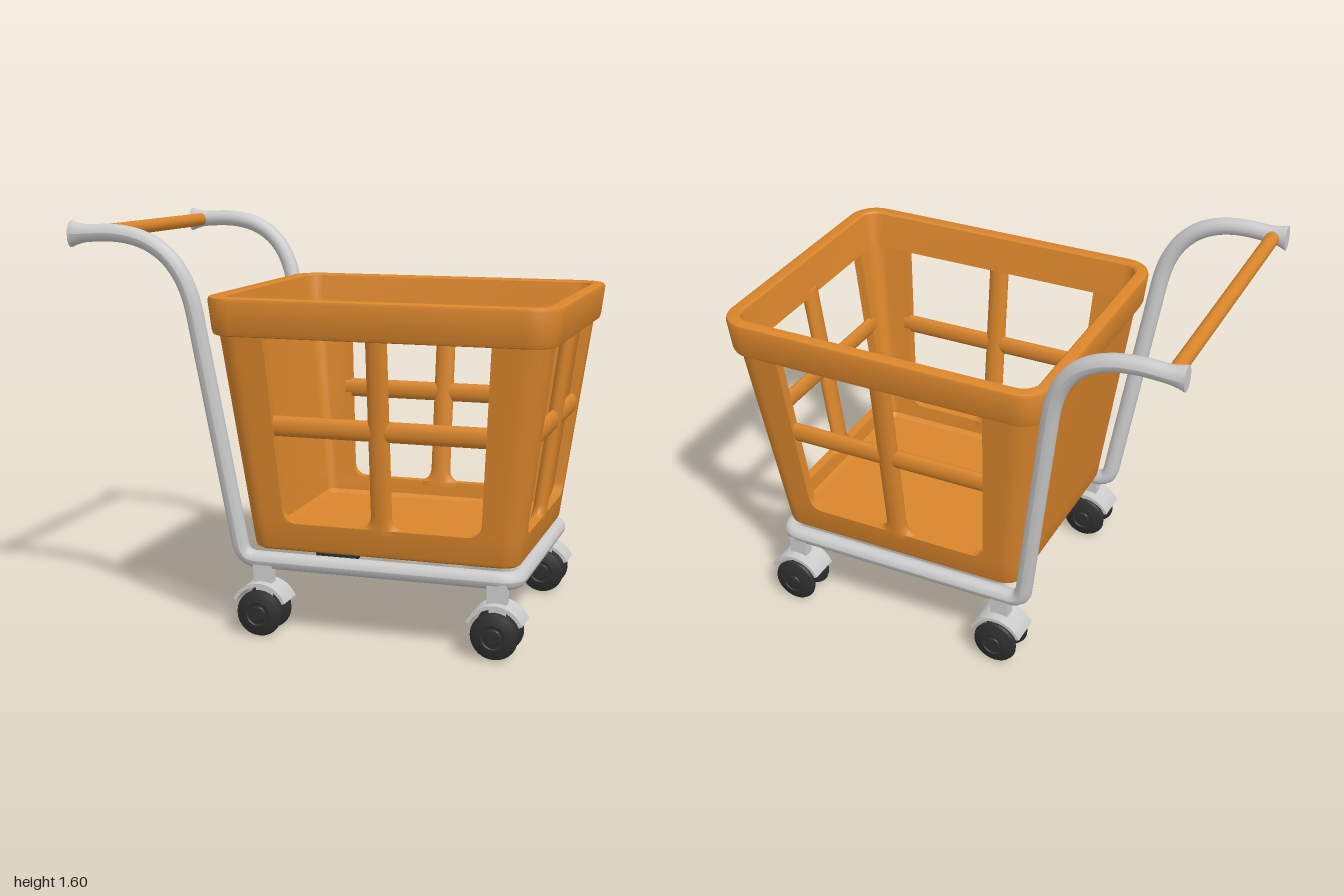
import * as THREE from 'three';
import { toCreasedNormals } from 'three/addons/utils/BufferGeometryUtils.js';

const orange = new THREE.MeshStandardMaterial({ color: 0xd9852b });
const metal = new THREE.MeshStandardMaterial({ color: 0xcccccc });
const black = new THREE.MeshStandardMaterial({ color: 0x2e2e2e });
const V = (x, y, z) => new THREE.Vector3(x, y, z);
const lerp = THREE.MathUtils.lerp;

function add(parent, name, geometry, material, x = 0, y = 0, z = 0) {
  const mesh = new THREE.Mesh(geometry, material);
  mesh.name = name;
  mesh.position.set(x, y, z);
  parent.add(mesh);
  return mesh;
}

// Skin closed rings of [x, z] points stacked at heights, with optional end caps
function loft(layers, caps = true) {
  const pos = [], index = [], n = layers[0].pts.length;
  for (const { y, pts } of layers) for (const [x, z] of pts) pos.push(x, y, z);
  for (let i = 0; i < layers.length - 1; i++) {
    for (let j = 0; j < n; j++) {
      const a = i * n + j, b = i * n + (j + 1) % n;
      index.push(a, a + n, b, b, a + n, b + n);
    }
  }
  if (caps) {
    const cap = (layer, base, flip) => {
      const flat = layer.pts.map(([x, z]) => new THREE.Vector2(x, z));
      for (const [a, b, c] of THREE.ShapeUtils.triangulateShape(flat, [])) {
        index.push(base + a, base + (flip ? c : b), base + (flip ? b : c));
      }
    };
    cap(layers[0], 0, false);
    cap(layers[layers.length - 1], (layers.length - 1) * n, true);
  }
  const g = new THREE.BufferGeometry();
  g.setAttribute('position', new THREE.Float32BufferAttribute(pos, 3));
  g.setIndex(index);
  return toCreasedNormals(g, 0.6);
}

// Rounded corner k (0: +x+z, 1: -x+z, 2: -x-z, 3: +x-z)
function corner(k, hx, hz, r) {
  const sx = k === 0 || k === 3 ? 1 : -1, sz = k < 2 ? 1 : -1, pts = [];
  for (let i = 0; i <= 8; i++) {
    const a = (k + i / 8) * Math.PI / 2;
    pts.push([sx * (hx - r) + r * Math.cos(a), sz * (hz - r) + r * Math.sin(a)]);
  }
  return pts;
}
const roundRect = (hx, hz, r) => [0, 1, 2, 3].flatMap(k => corner(k, hx, hz, r));

// Basket taper and window sizes by height
const Y0 = 0.33, Y1 = 1.18, SILL = 0.445, WALL = 0.04, FILLET = 0.05;
function size(y) {
  const t = (y - Y0) / (Y1 - Y0);
  return {
    hx: lerp(0.53, 0.645, t), hz: lerp(0.45, 0.55, t), r: lerp(0.07, 0.1, t),
    wz: lerp(0.385, 0.44, t), wx: lerp(0.36, 0.395, t),
  };
}
function fillet(y) {
  const d = THREE.MathUtils.clamp(FILLET - (y - SILL), 0, FILLET);
  return FILLET - Math.sqrt(FILLET * FILLET - d * d);
}
const levels = [0.425, SILL, 0.448, 0.455, 0.466, 0.48, 0.495, 0.832, 1.2];

// Wall section running round the given corners, between two window edges
function post(corners, start, end) {
  return loft(levels.map(y => {
    const s = size(y), f = fillet(y);
    const path = inset => {
      const hx = s.hx - inset, hz = s.hz - inset;
      return [start(s, hx, hz, f), ...corners.flatMap(k => corner(k, hx, hz, s.r - inset)), end(s, hx, hz, f)];
    };
    return { y, pts: [...path(0), ...path(WALL).reverse()] };
  }));
}

function makeBasket() {
  const basket = new THREE.Group();
  basket.name = 'basket';

  // Tray with floor
  const tray = [[0.33, 0.015], [0.337, 0.004], [0.35, 0], [SILL, 0], [SILL, WALL], [0.385, WALL], [0.37, 0.055]];
  add(basket, 'tray', loft(tray.map(([y, inset]) => {
    const s = size(y);
    return { y, pts: roundRect(s.hx - inset, s.hz - inset, Math.max(s.r - inset, 0.02)) };
  })), orange);

  // Two front corner posts and the solid rear wall with its corners
  add(basket, 'cornerPostLeft', post([0],
    (s, hx, hz, f) => [hx, s.wx - f], (s, hx, hz, f) => [s.wz - f, hz]), orange);
  add(basket, 'cornerPostRight', post([3],
    (s, hx, hz, f) => [s.wz - f, -hz], (s, hx, hz, f) => [hx, -s.wx + f]), orange);
  add(basket, 'rearWall', post([1, 2],
    (s, hx, hz, f) => [-s.wz + f, hz], (s, hx, hz, f) => [-s.wz + f, -hz]), orange);

  // Upright and cross bar in each of the three open sides
  for (const [name, dx, dz] of [['left', 0, 1], ['right', 0, -1], ['end', 1, 0]]) {
    add(basket, name + 'Upright', loft(levels.map(y => {
      const s = size(y), w = 0.042 + fillet(y), d = 0.028, pts = [];
      for (let i = 0; i < 16; i++) {
        const a = i / 16 * Math.PI * 2;
        pts.push([dx * (s.hx - 0.024) + (dx ? d : w) * Math.cos(a), dz * (s.hz - 0.024) + (dx ? w : d) * Math.sin(a)]);
      }
      return { y, pts };
    })), orange);
    const s = size(0.832);
    const g = new THREE.CylinderGeometry(0.04, 0.04, 2 * (dx ? s.wx : s.wz) + 0.05, 16);
    if (dx) g.rotateX(Math.PI / 2).scale(0.55, 1, 1);
    else g.rotateZ(Math.PI / 2).scale(1, 1, 0.55);
    add(basket, name + 'CrossBar', g, orange, dx * (s.hx - 0.024), 0.832, dz * (s.hz - 0.024));
  }

  // Flared rim band
  const rim = [[1.176, 0.655], [1.18, 0.665], [1.195, 0.671], [1.31, 0.686], [1.321, 0.682], [1.325, 0.674],
    [1.325, 0.638], [1.318, 0.63], [1.176, 0.6], [1.176, 0.655]];
  add(basket, 'rim', loft(rim.map(([y, hx]) => (
    { y, pts: roundRect(hx, hx - 0.102, 0.12 - (0.686 - hx)) })), false), orange);
  return basket;
}

// Polyline with rounded corners; each point is [position, corner length]
function roundedPath(points) {
  const path = new THREE.CurvePath();
  let from = points[0][0];
  for (let i = 1; i < points.length - 1; i++) {
    const [p, r] = points[i];
    const a = p.clone().add(points[i - 1][0].clone().sub(p).setLength(r));
    const b = p.clone().add(points[i + 1][0].clone().sub(p).setLength(r));
    path.add(new THREE.LineCurve3(from, a));
    path.add(new THREE.QuadraticBezierCurve3(a, p, b));
    from = b;
  }
  path.add(new THREE.LineCurve3(from, points[points.length - 1][0]));
  return path;
}

function makeFrame() {
  const frame = new THREE.Group();
  frame.name = 'frame';
  // One bent tube: handle arm, side rail, end rail, side rail, handle arm
  const half = [
    [V(-0.94, 1.552, 0.577), 0], [V(-0.492, 1.578, 0.583), 0.33],
    [V(-0.295, 0.29, 0.457), 0.06], [V(0.79, 0.29, 0.457), 0.06],
  ];
  const other = half.map(([p, r]) => [V(p.x, p.y, -p.z), r]).reverse();
  const tube = new THREE.TubeGeometry(roundedPath([...half, ...other]), 320, 0.034, 14);
  // Flare the arm tips vertically
  const p = tube.attributes.position;
  for (let i = 0; i < p.count; i++) {
    const k = THREE.MathUtils.clamp((-0.86 - p.getX(i)) / 0.08, 0, 1);
    p.setY(i, 1.552 + (p.getY(i) - 1.552) * (1 + 0.5 * k * k));
  }
  tube.computeVertexNormals();
  add(frame, 'frameTube', tube, metal);
  for (const s of [1, -1]) {
    const cap = new THREE.CylinderGeometry(0.034, 0.034, 0.008, 14).rotateZ(Math.PI / 2).scale(1, 1.5, 1);
    add(frame, 'armTip', cap, metal, -0.94, 1.552, s * 0.577);
  }
  add(frame, 'handleBar', new THREE.CylinderGeometry(0.028, 0.028, 1.14, 16).rotateX(Math.PI / 2), orange, -0.892, 1.552, 0);
  return frame;
}

function makeCaster() {
  const caster = new THREE.Group(), R = 0.092;
  caster.name = 'caster';
  add(caster, 'stem', new THREE.BoxGeometry(0.075, 0.09, 0.045), metal, 0, 0.235, 0);
  add(caster, 'fork', new THREE.BoxGeometry(0.06, 0.125, 0.03), metal, 0, 0.14, 0);
  add(caster, 'axle', new THREE.CylinderGeometry(0.016, 0.016, 0.12, 12).rotateX(Math.PI / 2), metal, 0, R, 0);
  // Arched fender over both wheels
  const arch = new THREE.Shape();
  const a = 0.42, b = Math.PI - a;
  arch.absarc(0, 0, 0.118, a, b, false);
  arch.absarc(0, 0, 0.104, b, a, true);
  const fender = new THREE.ExtrudeGeometry(arch, { depth: 0.124, bevelEnabled: false, curveSegments: 16 });
  add(caster, 'fender', toCreasedNormals(fender.translate(0, 0, -0.062), 0.6), metal, 0, R, 0);
  // Twin domed wheels with recessed hub rings
  const side = [[0, 0.026], [0.028, 0.025], [0.032, 0.02], [0.042, 0.02], [0.046, 0.024], [0.07, 0.018], [0.088, 0.01]];
  const profile = [...side.map(([r, h]) => [r, -h]), [R, 0], ...side.map(([r, h]) => [r, h]).reverse()];
  const wheel = toCreasedNormals(new THREE.LatheGeometry(profile.map(q => new THREE.Vector2(...q)), 28), 0.5);
  wheel.rotateX(Math.PI / 2);
  for (const s of [1, -1]) add(caster, 'wheel', wheel, black, 0, R, s * 0.056);
  return caster;
}

export function createModel() {
  const model = new THREE.Group();
  model.name = 'shoppingCart';
  const cart = new THREE.Group();
  cart.name = 'cart';
  // The cart stands turned slightly about the vertical
  cart.rotation.y = 0.093;
  model.add(cart);
  const body = new THREE.Group();
  body.name = 'body';
  body.position.z = -0.014;
  cart.add(body);

  const basket = makeBasket();
  basket.position.x = 0.268;
  body.add(basket, makeFrame());
  for (const x of [-0.205, 0.728]) {
    for (const z of [-0.465, 0.465]) {
      const caster = makeCaster();
      caster.position.set(x, 0, z);
      body.add(caster);
    }
  }
  return model;
}
